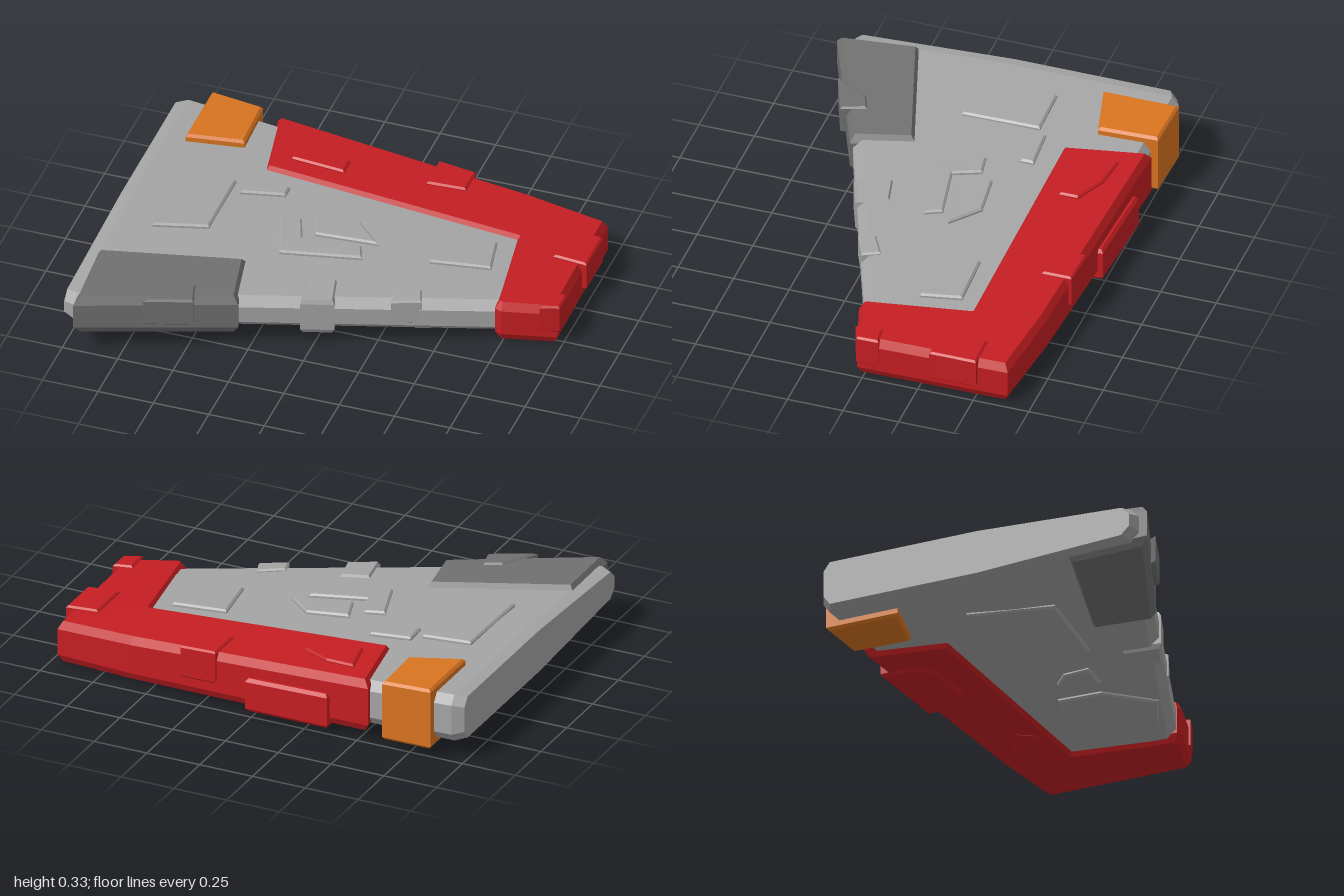
import * as THREE from 'three';

const paint = (name, color) => {
  const m = new THREE.MeshStandardMaterial({ color, flatShading: true });
  m.name = name;
  return m;
};

// Wing surface: the mid plane drops towards the tip, thickness thins to tip and leading edge
const mid = (x) => 0.205 - 0.0525 * (x + 1);
const half = (x, z) => 0.11 - 0.0175 * (x + 1) - 0.05 * Math.max(0, z);

const area = (p) => p.reduce((s, a, i) => {
  const b = p[(i + 1) % p.length];
  return s + a[0] * b[1] - b[0] * a[1];
}, 0);

// Shrinks an outline by d with mitred corners
function inset(p, d) {
  const n = p.length;
  const normal = (a, b) => {
    const dx = b[0] - a[0], dz = b[1] - a[1], l = Math.hypot(dx, dz);
    return [-dz / l, dx / l];
  };
  return p.map((v, i) => {
    const a = normal(p[(i + n - 1) % n], v), b = normal(v, p[(i + 1) % n]);
    const k = d / (1 + a[0] * b[0] + a[1] * b[1]);
    return [v[0] + (a[0] + b[0]) * k, v[1] + (a[1] + b[1]) * k];
  });
}

function toGeometry(positions) {
  const g = new THREE.BufferGeometry();
  g.setAttribute('position', new THREE.Float32BufferAttribute(positions.flat(), 3));
  g.computeVertexNormals();
  return g;
}

// Bevelled plate following the wing surface; a null lift ends that side inside the wing
function plateGeometry(outline, up, down, bevelIn, bevelH) {
  const rim = area(outline) > 0 ? outline : [...outline].reverse();
  const cap = inset(rim, bevelIn), n = rim.length;
  const top = (x, z) => mid(x) + (up === null ? 0.03 : half(x, z) + up);
  const bottom = (x, z) => mid(x) - (down === null ? 0.03 : half(x, z) + down);
  const ring = (pts, f, dy) => pts.map(([x, z]) => [x, f(x, z) + dy, z]);
  const rings = [ring(cap, bottom, 0), ring(rim, bottom, bevelH), ring(rim, top, -bevelH), ring(cap, top, 0)];
  const out = [];
  for (let r = 0; r < 3; r++) {
    const a = rings[r], b = rings[r + 1];
    for (let i = 0; i < n; i++) {
      const j = (i + 1) % n;
      out.push(a[i], b[i], b[j], a[i], b[j], a[j]);
    }
  }
  const faces = THREE.ShapeUtils.triangulateShape(cap.map(([x, z]) => new THREE.Vector2(x, z)), []);
  for (const f of faces) {
    const [a, b, c] = area(f.map((i) => cap[i])) > 0 ? f : [f[0], f[2], f[1]];
    out.push(rings[0][a], rings[0][b], rings[0][c], rings[3][a], rings[3][c], rings[3][b]);
  }
  return toGeometry(out.flat().length ? out : []);
}

// Main wing lofted through cross-sections: [x, rear z, front z, shrink]
function wingGeometry() {
  const stations = [[-1, -0.73, 0.725, 0.012], [-0.95, -0.755, 0.745, 0], [0.6, -0.675, 0.134, 0], [0.94, -0.62, 0, 0]];
  const rings = stations.map(([x, zr, zf, s]) => {
    const crease = Math.min(0, zf - 0.1);
    const upper = [[zr, 0.04], [zr + 0.03, 0], [crease, 0], [zf - 0.04, 0], [zf, 0.035]]
      .map(([z, cut]) => [z, half(x, z) - cut - s]);
    return [
      ...upper.map(([z, h]) => [x, mid(x) + h, z]),
      ...[...upper].reverse().map(([z, h]) => [x, mid(x) - h, z]),
    ];
  });
  const out = [], n = rings[0].length;
  for (let r = 0; r < rings.length - 1; r++) {
    const a = rings[r], b = rings[r + 1];
    for (let i = 0; i < n; i++) {
      const j = (i + 1) % n;
      out.push(a[i], a[j], b[i], a[j], b[j], b[i]);
    }
  }
  const first = rings[0], last = rings[rings.length - 1];
  for (let i = 1; i < n - 1; i++) {
    out.push(first[0], first[i + 1], first[i], last[0], last[i], last[i + 1]);
  }
  return toGeometry(out);
}

export function createModel() {
  const group = new THREE.Group();
  const grey = paint('hull grey', 0xa4a4a4);
  const dark = paint('dark grey', 0x707070);
  const red = paint('armour red', 0xc41e22);
  const orange = paint('orange', 0xd87420);

  const add = (name, geometry, material) => {
    const mesh = new THREE.Mesh(geometry, material);
    mesh.name = name;
    group.add(mesh);
  };
  const plate = (name, material, outline, up, down, bevelIn = 0.008, bevelH = 0.008) =>
    add(name, plateGeometry(outline, up, down, bevelIn, bevelH), material);

  add('wing', wingGeometry(), grey);

  // Wrap-around armour
  plate('redArmour', red, [[-0.56, -0.765], [0.6, -0.69], [0.97, -0.645], [0.98, 0.03], [0.75, 0.1],
    [0.72, 0.09], [0.65, -0.37], [-0.49, -0.39]], 0.02, 0.02, 0.02, 0.035);
  plate('leadingEdgeArmour', dark, [[-0.96, 0.41], [-0.35, 0.22], [-0.295, 0.5], [-0.94, 0.78]], 0.022, 0.022, 0.022, 0.035);
  plate('orangeBand', orange, [[-0.865, -0.785], [-0.63, -0.772], [-0.62, -0.505], [-0.865, -0.445]], 0.034, 0.034, 0.01, 0.012);

  // Raised panels on the upper hull
  const upper = [
    [[-0.8, -0.26], [-0.57, -0.26], [-0.57, 0.09], [-0.8, 0.17]],
    [[-0.535, -0.3], [-0.345, -0.31], [-0.345, -0.25], [-0.53, -0.19]],
    [[-0.185, -0.18], [0.01, -0.2], [0.13, -0.09], [-0.14, -0.045]],
    [[-0.32, -0.105], [-0.225, -0.12], [-0.18, 0], [0.07, -0.045], [0.1, 0.03], [-0.24, 0.13]],
    [[0.335, -0.305], [0.59, -0.31], [0.625, -0.13], [0.37, -0.065]],
  ];
  upper.forEach((o, i) => plate(`upperPanel${i + 1}`, grey, o, 0.017, null));

  // Raised panels on the lower hull
  const lower = [
    [[-0.17, 0.12], [-0.3, -0.2], [-0.7, -0.2], [-0.6, 0.17]],
    [[0.57, 0.08], [0.57, -0.12], [0.41, -0.26], [0.19, -0.21], [0.2, -0.01], [0.39, 0.17]],
    [[0.12, 0.03], [0.06, -0.15], [-0.015, -0.08], [-0.02, 0.04]],
  ];
  lower.forEach((o, i) => plate(`lowerPanel${i + 1}`, grey, o, null, 0.015));

  // Leading edge blocks
  plate('edgeBlockInner', grey, [[-0.085, 0.23], [0.05, 0.2], [0.085, 0.345], [-0.05, 0.4]], 0.012, 0.012, 0.01, 0.02);
  plate('edgeBlockOuter', grey, [[0.29, 0.18], [0.4, 0.12], [0.43, 0.2], [0.31, 0.255]], 0.012, null);
  plate('darkEdgeBlock', dark, [[-0.66, 0.68], [-0.57, 0.52], [-0.49, 0.49], [-0.46, 0.6]], 0.03, null);

  // Details on the red armour
  plate('redUpperPanel', red, [[-0.44, -0.66], [-0.3, -0.64], [-0.165, -0.57], [-0.165, -0.485], [-0.4, -0.485]], 0.034, null);
  plate('redRearBlock', red, [[0.18, -0.73], [0.35, -0.718], [0.35, -0.585], [0.18, -0.56]], 0.032, null);
  plate('tipBlockRear', red, [[0.845, -0.51], [0.995, -0.51], [0.995, -0.3], [0.845, -0.3]], 0.032, null);
  plate('tipBlockFront', red, [[0.9, -0.06], [0.99, -0.07], [0.99, 0.03], [0.91, 0.06]], 0.03, null);
  plate('redLowerBlock', red, [[-0.37, -0.775], [0.03, -0.75], [0.04, -0.64], [-0.05, -0.53], [-0.3, -0.53], [-0.38, -0.62]], null, 0.034, 0.012, 0.015);
  plate('redLowerPanel', red, [[0.72, -0.5], [0.66, -0.58], [0.5, -0.58], [0.38, -0.5], [0.42, -0.43], [0.68, -0.43]], null, 0.03);

  return group;
}
